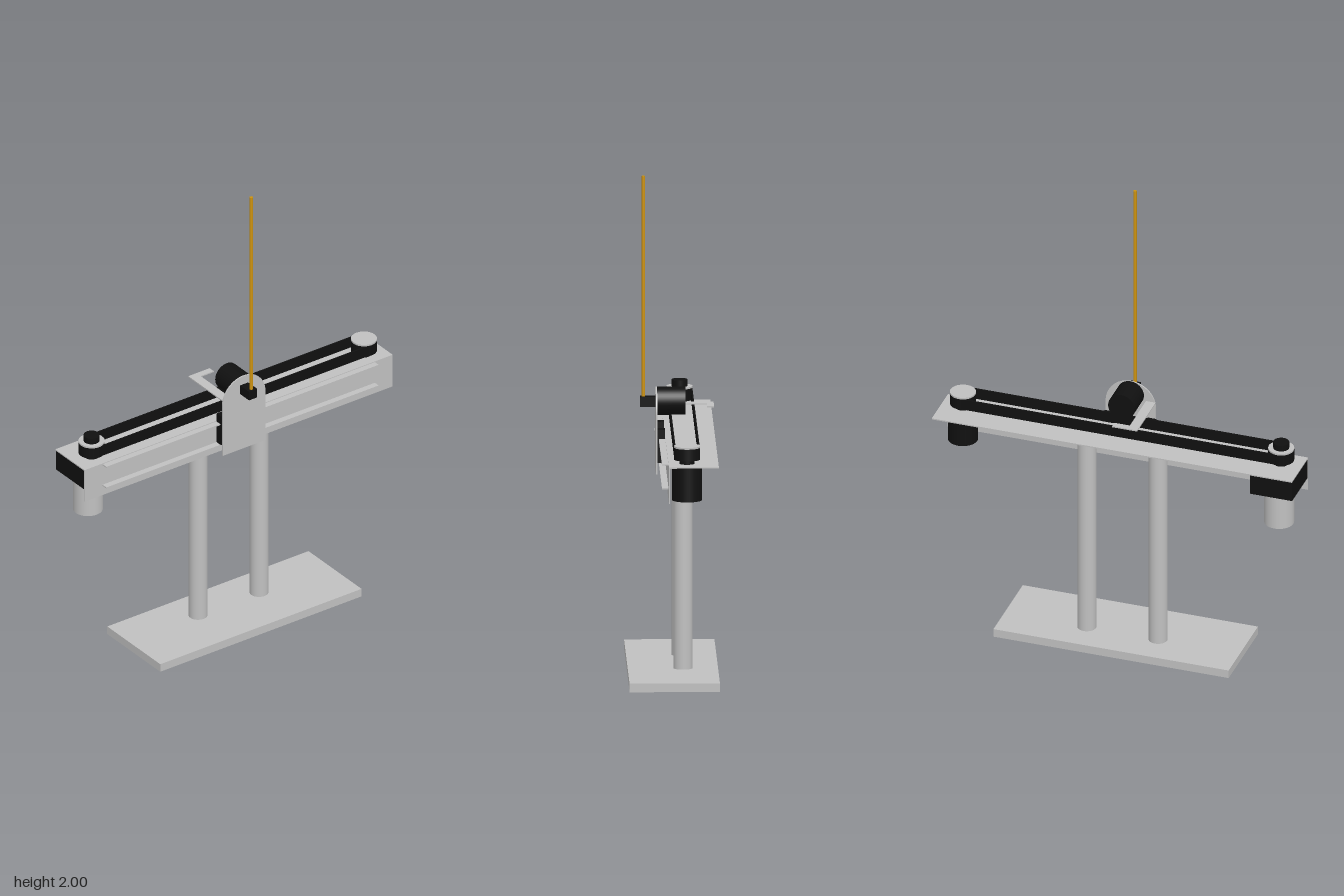
import * as THREE from 'three';

export function createModel() {
  const model = new THREE.Group();
  model.name = 'pendulumCartRig';

  const material = (name, color) => {
    const m = new THREE.MeshStandardMaterial({ color });
    m.name = name;
    return m;
  };
  const metal = material('light grey metal', 0xc0c0c0);
  const black = material('black', 0x101010);
  const gold = material('golden rod', 0xcc9210);

  const add = (name, geometry, mat) => {
    const mesh = new THREE.Mesh(geometry, mat);
    mesh.name = name;
    model.add(mesh);
    return mesh;
  };
  // Box given by its minimum and maximum on each axis
  const box = (name, mat, [x0, x1], [y0, y1], [z0, z1]) =>
    add(name, new THREE.BoxGeometry(x1 - x0, y1 - y0, z1 - z0), mat)
      .position.set((x0 + x1) / 2, (y0 + y1) / 2, (z0 + z1) / 2);
  // Upright cylinder between two heights
  const rod = (name, mat, r, x, z, [y0, y1], sides = 40) =>
    add(name, new THREE.CylinderGeometry(r, r, y1 - y0, sides), mat)
      .position.set(x, (y0 + y1) / 2, z);

  // Stand
  box('base', metal, [-0.495, 0.495], [0, 0.035], [-0.18, 0.18]);
  for (const x of [-0.15, 0.15]) rod('post', metal, 0.038, x, -0.04, [0.035, 0.953]);

  // Angle beam and the two thin rails on its front
  box('beamTop', metal, [-0.758, 0.758], [0.952, 0.957], [-0.17, 0.028]);
  box('beamFront', metal, [-0.758, 0.758], [0.81, 0.957], [0.024, 0.029]);
  for (const y of [0.853, 0.949]) {
    box('rail', metal, [-0.67, 0.67], [y, y + 0.005], [0.029, 0.055]);
  }

  // Drive: gearbox and motor at one end, sensor at the other
  box('gearbox', black, [-0.757, -0.58], [0.865, 0.952], [-0.166, 0.024]);
  rod('motor', metal, 0.06, -0.67, -0.07, [0.7, 0.865]);
  rod('beltSensor', black, 0.06, 0.67, -0.045, [0.81, 0.952]);

  // Pulleys
  const pulleyZ = -0.045;
  for (const x of [-0.67, 0.67]) {
    rod('pulleyShaft', black, 0.03, x, pulleyZ, [0.957, 0.975]);
    rod('pulley', black, 0.052, x, pulleyZ, [0.974, 1.022]);
    rod('pulleyCap', metal, 0.052, x, pulleyZ, [1.022, 1.029]);
  }
  rod('pulleyHub', black, 0.032, -0.67, pulleyZ, [1.029, 1.055]);

  // Belt: a thin stadium-shaped loop lying flat
  const stadium = (path, r) => {
    path.absarc(0.67, 0, r, -Math.PI / 2, Math.PI / 2, false);
    path.absarc(-0.67, 0, r, Math.PI / 2, Math.PI * 1.5, false);
    path.closePath();
    return path;
  };
  const beltShape = stadium(new THREE.Shape(), 0.051);
  beltShape.holes.push(stadium(new THREE.Path(), 0.045));
  const belt = add('belt', new THREE.ExtrudeGeometry(beltShape,
    { depth: 0.046, bevelEnabled: false, curveSegments: 24 }), black);
  belt.rotation.x = -Math.PI / 2;
  belt.position.set(0, 0.976, pulleyZ);

  // Carriage plate with a round top
  const plate = new THREE.Shape();
  plate.moveTo(-0.105, 0.81);
  plate.lineTo(0.105, 0.81);
  plate.absarc(0, 1.04, 0.105, 0, Math.PI, false);
  plate.closePath();
  add('carriagePlate', new THREE.ExtrudeGeometry(plate,
    { depth: 0.006, bevelEnabled: false, curveSegments: 32 }), metal).position.z = 0.06;
  for (const x of [-0.09, 0.09]) {
    box('guideBlock', black, [x - 0.019, x + 0.019], [0.858, 0.992], [0.03, 0.06]);
  }

  // Thin L-shaped arm reaching over the belt
  const arm = new THREE.Shape([
    [-0.105, -0.06], [-0.065, -0.06], [-0.065, 0.14],
    [0, 0.14], [0, 0.168], [-0.105, 0.168],
  ].map(([x, y]) => new THREE.Vector2(x, y)));
  const armMesh = add('carriageArm',
    new THREE.ExtrudeGeometry(arm, { depth: 0.005, bevelEnabled: false }), metal);
  armMesh.rotation.x = -Math.PI / 2;
  armMesh.position.y = 1.062;

  // Swing sensor, its hub and the pendulum rod
  const sensor = add('swingSensor', new THREE.CylinderGeometry(0.056, 0.056, 0.113, 40), black);
  sensor.rotation.x = Math.PI / 2;
  sensor.position.set(0, 1.09, 0.0035);
  box('rodHub', black, [-0.02, 0.02], [1.068, 1.108], [0.066, 0.127]);
  rod('pendulumRod', gold, 0.007, 0, 0.114, [1.09, 2], 20);

  return model;
}
